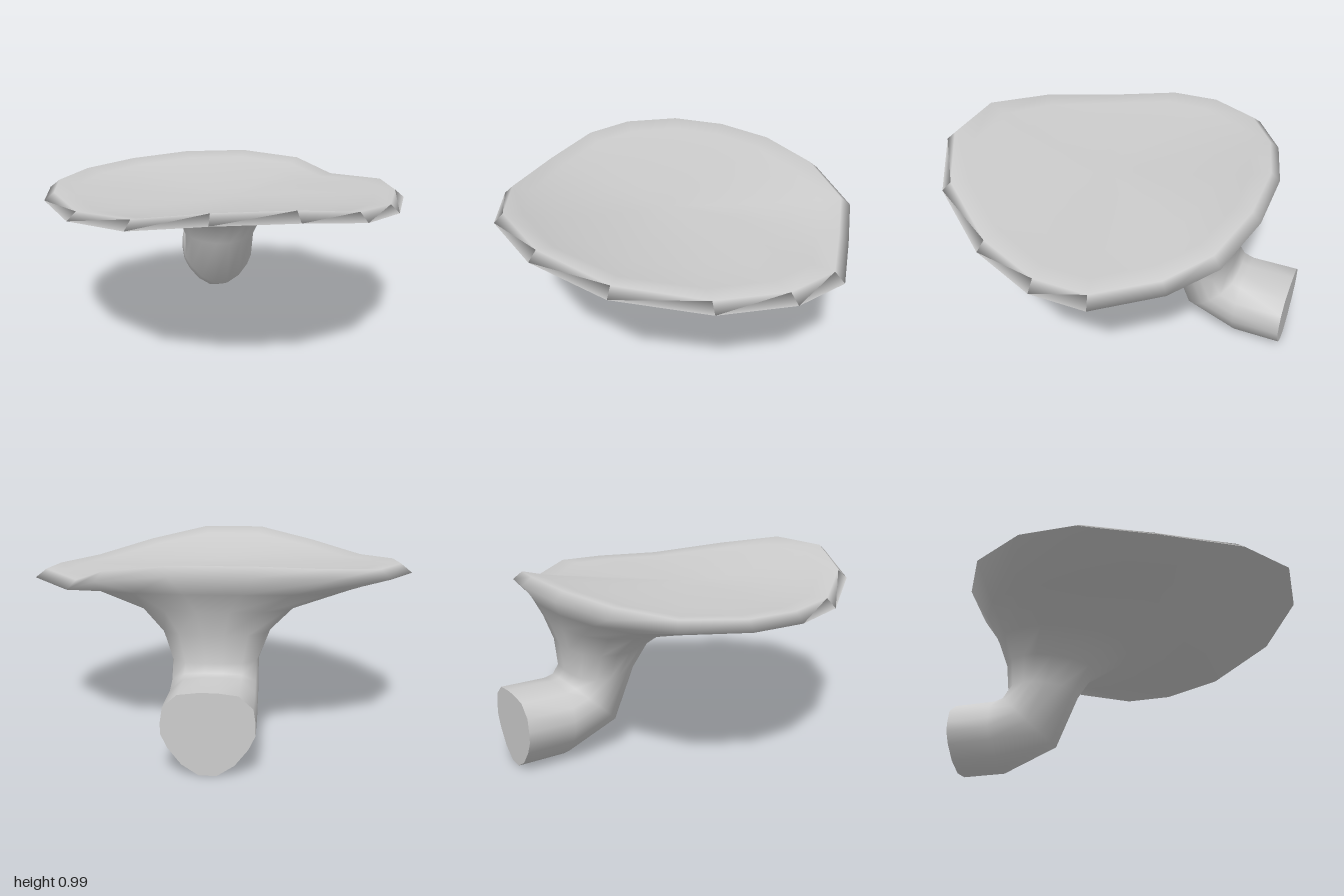
import * as THREE from 'three';

const material = new THREE.MeshStandardMaterial({ color: 0xcccccc });

// Half cross-sections from back (t = 0) to front (t = 1): [half width, t]
const pipeHalf = [[0.19, 0], [0.64, 0.03], [0.95, 0.18], [1, 0.36], [1, 0.5], [0.85, 0.67], [0.56, 0.87], [0.19, 1]];
const plateHalf = [[0.2, 0], [0.56, 0.05], [0.85, 0.15], [1, 0.31], [1, 0.475], [0.85, 0.675], [0.56, 0.89], [0.2, 1]];

// Edge of the plate on each side, back to front: [x, y, z]
const rimLeft = [[0.2, 0.88, -0.81], [0.56, 0.84, -0.72], [0.75, 0.77, -0.53], [1, 0.79, -0.25],
  [1, 0.79, 0.04], [0.85, 0.8, 0.4], [0.56, 0.87, 0.78], [0.2, 0.94, 0.98]];
const rimRight = [[-0.2, 0.88, -0.81], [-0.56, 0.86, -0.72], [-0.85, 0.84, -0.54], [-1, 0.835, -0.25],
  [-1, 0.83, 0.04], [-0.85, 0.815, 0.4], [-0.56, 0.87, 0.78], [-0.2, 0.94, 0.98]];

// Closed ring of 16 points between a back and a front point [y, z]
function ring(halfWidth, back, front, blend = 0, sag = 0) {
  const half = pipeHalf.map(([w, t], i) => {
    const x = halfWidth * THREE.MathUtils.lerp(w, plateHalf[i][0], blend);
    const s = THREE.MathUtils.lerp(t, plateHalf[i][1], blend);
    const y = THREE.MathUtils.lerp(back[0], front[0], s) - sag * 4 * s * (1 - s);
    return [x, y, THREE.MathUtils.lerp(back[1], front[1], s)];
  });
  return [...half, ...half.map(([x, y, z]) => [-x, y, z]).reverse()];
}

// Skin through the rings, closed at the end with a centre point
function loft(rings, tip) {
  const n = rings[0].length;
  const index = [];
  for (let i = 0; i < rings.length; i++) {
    for (let j = 0; j < n; j++) {
      const a = i * n + j, b = i * n + (j + 1) % n;
      if (i < rings.length - 1) index.push(a, a + n, b, b, a + n, b + n);
      else index.push(a, rings.length * n, b);
    }
  }
  const geometry = new THREE.BufferGeometry();
  geometry.setAttribute('position', new THREE.Float32BufferAttribute([...rings.flat(), tip].flat(), 3));
  geometry.setIndex(index);
  geometry.computeVertexNormals();
  return geometry;
}

export function createModel() {
  const group = new THREE.Group();

  // Pipe, elbow and flaring neck
  const pipeEnd = ring(0.215, [0.39, -0.985], [0, -0.985]);
  const neck = [
    pipeEnd,
    ring(0.215, [0.39, -0.74], [0, -0.73]),
    ring(0.215, [0.4, -0.7], [0.13, -0.42]),
    ring(0.215, [0.44, -0.67], [0.44, -0.29]),
    ring(0.27, [0.58, -0.68], [0.58, -0.2], 0.3),
    ring(0.39, [0.7, -0.72], [0.7, 0], 0.6, 0.01),
    ring(0.66, [0.79, -0.755], [0.79, 0.35], 1, 0.03),
  ];

  // Plate edge, raised lip and hollow top
  const rim = [...rimLeft, ...[...rimRight].reverse()];
  const lip = rim.map(([x, y, z]) => [x * 0.945, y + 0.045, 0.1 + (z - 0.1) * 0.945]);
  const dish = [0.88, 0.7, 0.45, 0.2].map((s) => lip.map(([x, y, z]) =>
    [x * s, THREE.MathUtils.lerp(0.84, y, s * s) - 0.006, 0.1 + (z - 0.1) * s]));

  const body = new THREE.Mesh(loft([...neck, rim, lip, ...dish], [0, 0.835, 0.1]), material);
  body.name = 'plateAndNeck';
  group.add(body);

  // Flat end of the pipe
  const cap = new THREE.BufferGeometry();
  const fan = [];
  for (let j = 1; j < pipeEnd.length - 1; j++) fan.push(0, j, j + 1);
  cap.setAttribute('position', new THREE.Float32BufferAttribute(pipeEnd.flat(), 3));
  cap.setIndex(fan);
  cap.computeVertexNormals();
  const end = new THREE.Mesh(cap, material);
  end.name = 'pipeEnd';
  group.add(end);

  return group;
}
